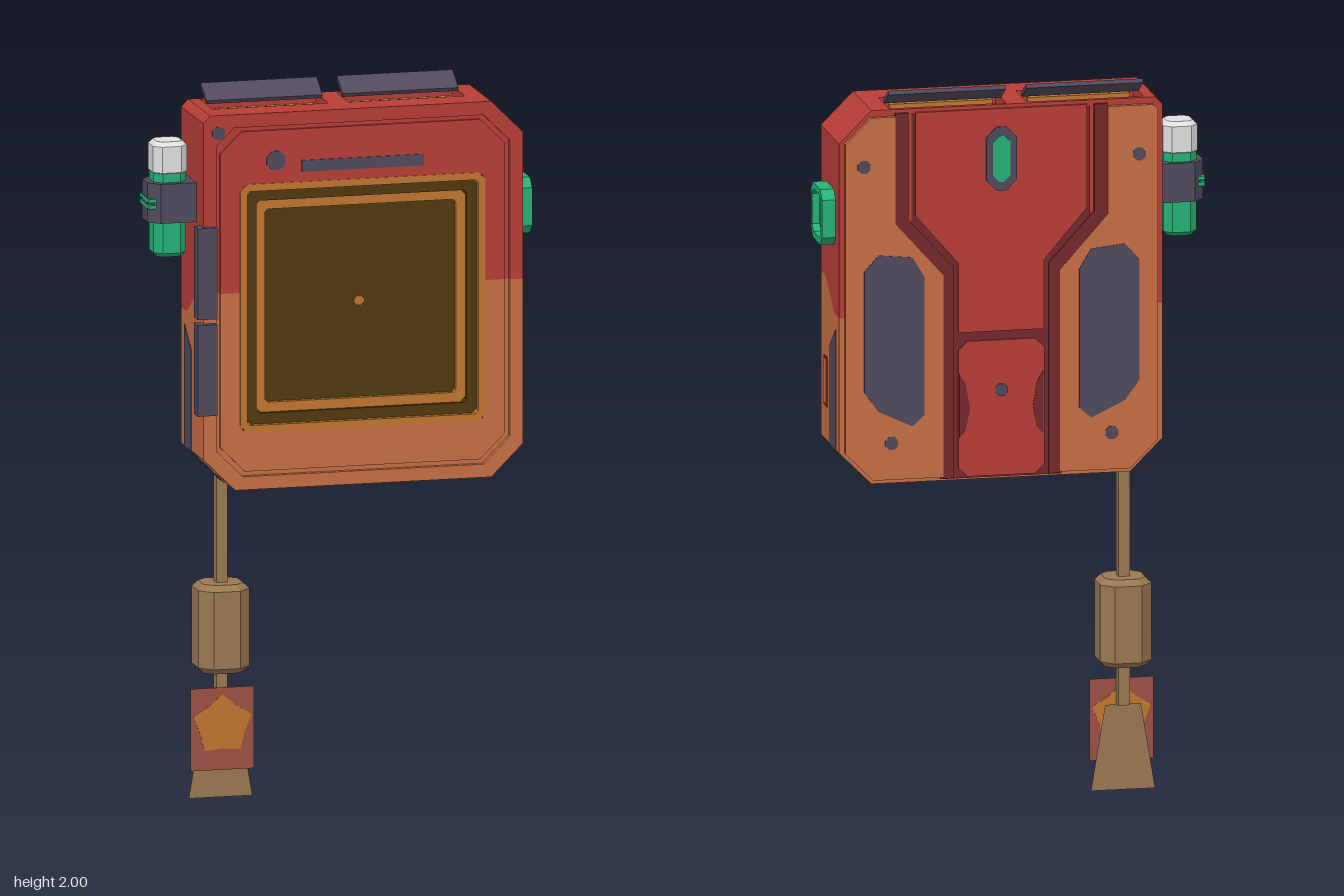
import * as THREE from 'three';

const mat = (name, color, double) => {
  const m = new THREE.MeshStandardMaterial({ color });
  m.name = name;
  if (double) m.side = THREE.DoubleSide;
  return m;
};

export function createModel() {
  const red = mat('red shell', 0xb83d37);
  const darkRed = mat('dark red rail', 0x74292c);
  const orange = mat('orange shell', 0xc66e44);
  const grey = mat('slate grey', 0x504a5c);
  const tan = mat('tan cord', 0x9a7852, true);
  const green = mat('green', 0x24b276);
  const white = mat('white cap', 0xe0e0e0);
  const dark = mat('dark screen', 0x50380e);
  const gold = mat('amber', 0xc0762f);
  const tagRed = mat('tag red', 0x9c5044);

  const root = new THREE.Group();
  const add = (name, geo, m, parent = root) => {
    const mesh = new THREE.Mesh(geo, m);
    mesh.name = name;
    parent.add(mesh);
    return mesh;
  };
  const box = (name, m, x0, x1, y0, y1, z0, z1, parent) => {
    const mesh = add(name, new THREE.BoxGeometry(x1 - x0, y1 - y0, z1 - z0), m, parent);
    mesh.position.set((x0 + x1) / 2, (y0 + y1) / 2, (z0 + z1) / 2);
    return mesh;
  };
  const toShape = (pts, hole) => {
    const s = new THREE.Shape(pts.map(p => new THREE.Vector2(...p)));
    if (hole) s.holes.push(new THREE.Path(hole.map(p => new THREE.Vector2(...p))));
    return s;
  };
  // Extrude a polygon in the xy plane from z0 to z1
  const slab = (pts, z0, z1, steps = 1, hole) => new THREE.ExtrudeGeometry(toShape(pts, hole),
    { depth: z1 - z0, steps, bevelEnabled: false }).translate(0, 0, z0);
  const oct = (x0, x1, y0, y1, c) => [[x0 + c, y0], [x1 - c, y0], [x1, y0 + c], [x1, y1 - c],
    [x1 - c, y1], [x0 + c, y1], [x0, y1 - c], [x0, y0 + c]];
  // Upright square bar of half width h with cut corners c and bevelled ends b
  const bar = (h, c, y0, y1, b) => new THREE.ExtrudeGeometry(toShape(oct(b - h, h - b, b - h, h - b, c)),
    { depth: y1 - y0 - 2 * b, bevelSize: b, bevelThickness: b, bevelSegments: 1 })
    .translate(0, 0, y0 + b).rotateX(-Math.PI / 2);
  // Slide the vertices lying at height y to a height that depends on z
  const slant = (geo, y, rule) => {
    const p = geo.attributes.position;
    for (let i = 0; i < p.count; i++) if (Math.abs(p.getY(i) - y) < 1e-4) p.setY(i, rule(p.getZ(i)));
    geo.computeVertexNormals();
    return geo;
  };

  // Case: red upper and orange lower half, colour seam dropping towards the back
  const S = 1.45, cx = 0.043, cy = 1.405, W = 0.34;
  const seam = z => 1.37 + 0.08 * THREE.MathUtils.clamp((z + 0.04) / 0.11, 0, 1);
  const vents = [0.025, -0.36], ventW = 0.328;
  const notches = vents.flatMap(x => [[x + ventW, 1.95], [x + ventW, 1.91], [x, 1.91], [x, 1.95]]);
  const upper = (d, cut = []) => [[0.495 - d, S], [0.495 - d, 1.86 - d * 0.6], [0.405 - d * 0.6, 1.95 - d],
    ...cut, [-0.39 + d * 1.8, 1.95 - d], [-0.41 + d, 1.93 - d * 1.8], [-0.41 + d, S]];
  const lower = d => [[-0.41 + d, S], [-0.41 + d, 0.99 + d * 0.6], [-0.32 + d * 0.6, 0.9 + d],
    [0.405 - d * 0.6, 0.9 + d], [0.495 - d, 0.99 + d * 0.6], [0.495 - d, S]];
  const core = (name, pts, z0, z1, m) =>
    add(name, slant(slab(pts, z0, z1, Math.round((z1 - z0) / 0.015)), S, seam), m);
  core('upperCaseBack', upper(0), -0.105, -0.09, red);
  core('upperCaseVented', upper(0, notches), -0.09, 0.045, red);
  core('upperCaseFront', upper(0), 0.045, 0.075, red);
  core('lowerCase', lower(0), -0.105, 0.075, orange);
  // Front ring around the screen well, with a raised rim and panel
  for (const [part, half, m, s] of [['upper', upper, red, 1], ['lower', lower, orange, -1]]) {
    const well = [[cx - s * W, S], [cx - s * W, cy + s * W], [cx + s * W, cy + s * W], [cx + s * W, S]];
    add(part + 'FrontRing', slab([...half(0), ...well], 0.075, 0.12), m);
    add(part + 'FrontRim', slab([...half(0), ...half(0.037).reverse()], 0.12, 0.135), m);
    add(part + 'FrontPanel', slab([...half(0.05), ...well], 0.12, 0.129), m);
  }

  // Grey band around the lower edge
  add('lowerBand', slant(slab([[-0.412, 1.3], [-0.412, 0.989], [-0.321, 0.898], [0.406, 0.898],
    [0.497, 0.989], [0.497, 1.3]], -0.065, 0.01), 1.3, z => 1.27 + (0.01 - z) * 0.8), grey);
  box('bottomSlot', grey, -0.1, 0.19, 0.897, 0.902, 0.05, 0.085);
  box('sideSlotRim', darkRed, 0.49, 0.497, 1.085, 1.225, 0.047, 0.09);
  box('sideSlot', orange, 0.49, 0.498, 1.092, 1.218, 0.053, 0.084);

  // Screen, stepping inwards from frame to glass
  const screen = new THREE.Group();
  screen.name = 'screen';
  root.add(screen);
  const square = (h, c) => oct(cx - h, cx + h, cy - h, cy + h, c);
  for (const [name, h, hole, z, m] of [['screenFrame', 0.347, 0.327, 0.131, gold],
    ['screenBorder', 0.33, 0.297, 0.115, dark], ['screenRing', 0.3, 0.27, 0.103, gold]])
    add(name, slab(square(h, 0.02), 0.076, z, 1, square(hole, 0.008)), m, screen);
  add('screenGlass', slab(square(0.275, 0.005), 0.075, 0.088), dark, screen);
  add('screenDot', slab(oct(0.028, 0.056, 1.392, 1.416, 0.008), 0.085, 0.091), gold, screen);

  // Front speaker, sensor and screw
  box('speakerSlot', grey, -0.13, 0.215, 1.78, 1.812, 0.125, 0.132);
  const disc = (name, m, x, y, r, z0, z1) =>
    add(name, slab(oct(x - r, x + r, y - r, y + r, r * 0.58), z0, z1), m);
  disc('sensor', grey, -0.203, 1.815, 0.026, 0.125, 0.132);
  disc('frontScrew', grey, -0.367, 1.9, 0.018, 0.128, 0.1365);

  // Hinge plates on the front edge
  for (const y of [1.115, 1.385]) box('hingePlate', grey, -0.43, -0.375, y, y + 0.255, 0.11, 0.153);

  // Top vents with raised flaps
  for (const x of vents) {
    const flap = box('ventFlap', grey, x, x + ventW, 1.968, 1.98, -0.092, -0.018);
    flap.rotation.x = 0.54;
    box('ventStrip', gold, x + 0.02, x + ventW - 0.02, 1.905, 1.942, -0.01, 0.006);
  }

  // Back: channel between two mirrored plates
  box('channelFloor', darkRed, cx - 0.25, cx + 0.25, 1.5, 1.935, -0.109, -0.1);
  box('channelFloorLow', darkRed, cx - 0.17, cx + 0.17, 0.905, 1.5, -0.109, -0.1);
  for (const s of [1, -1]) {
    const side = s > 0 ? 'left' : 'right';
    const flip = pts => pts.map(([x, y]) => [cx + s * x, y]);
    const corner = s > 0 ? [[0.437, 1.86], [0.365, 1.932]] : [[0.437, 1.92], [0.425, 1.932]];
    add(side + 'BackPlate', slab(flip([[0.297, 1.932], [0.297, 1.63], [0.163, 1.48], [0.163, 0.912],
      [0.36, 0.912], [0.437, 0.99], ...corner]), -0.119, -0.1), orange);
    add(side + 'Rail', slab(flip([[0.297, 1.94], [0.297, 1.63], [0.163, 1.48], [0.163, 0.908],
      [0.133, 0.908], [0.133, 1.5], [0.26, 1.64], [0.26, 1.94]]), -0.117, -0.1), darkRed);
    add(side + 'GripPad', slab(flip([[0.217, 1.48], [0.25, 1.535], [0.345, 1.545], [0.385, 1.5],
      [0.385, 1.16], [0.345, 1.105], [0.25, 1.06], [0.217, 1.09]]), -0.121, -0.116), grey);
    disc(side + 'TopScrew', grey, cx + s * 0.385, 1.795, 0.018, -0.121, -0.116);
    disc(side + 'LowScrew', grey, cx + s * 0.308, 1.015, 0.018, -0.121, -0.116);
    add(side + 'Stain', slab(flip([[0.118, 1.2], [0.1, 1.17], [0.088, 1.1], [0.1, 1.04], [0.118, 1.02]]),
      -0.117, -0.112), darkRed);
  }
  add('backUpperPanel', slab([[-0.24, 1.94], [-0.24, 1.65], [-0.12, 1.51], [-0.12, 1.315], [0.12, 1.315],
    [0.12, 1.51], [0.24, 1.65], [0.24, 1.94]].map(([x, y]) => [cx + x, y]), -0.114, -0.1), red);
  add('backLowerPanel', slab(oct(cx - 0.12, cx + 0.12, 0.91, 1.29, 0.025), -0.115, -0.1), red);
  disc('centreScrew', grey, cx, 1.15, 0.017, -0.119, -0.112);
  add('lampRim', slab(oct(cx - 0.043, cx + 0.043, 1.71, 1.89, 0.03), -0.118, -0.11), grey);
  add('lamp', slab(oct(cx - 0.024, cx + 0.024, 1.735, 1.865, 0.018), -0.12, -0.115), green);

  // Side button, shaped in profile and turned to face +x
  const button = new THREE.Group();
  button.name = 'sideButton';
  button.position.set(0.49, 1.64, 0.015);
  button.rotation.y = Math.PI / 2;
  root.add(button);
  const outer = oct(-0.074, 0.074, -0.078, 0.078, 0.025), inner = oct(-0.056, 0.056, -0.06, 0.06, 0.018);
  add('buttonRim', slab(outer, 0, 0.043, 1, inner), green, button);
  add('buttonFace', slab(inner, 0, 0.022), green, button);

  // Pen held in a clip on the other side
  const pen = new THREE.Group();
  pen.name = 'pen';
  pen.position.set(-0.475, 0, -0.005);
  root.add(pen);
  add('penBody', bar(0.046, 0.014, 1.54, 1.8, 0.012), green, pen);
  add('penCap', bar(0.048, 0.014, 1.765, 1.862, 0.012), white, pen);
  const clip = add('penClip', slab([[-0.54, -0.03], [-0.51, -0.06], [-0.405, -0.06], [-0.405, 0.065],
    [-0.51, 0.065], [-0.54, 0.03]], 0, 0.11), grey);
  clip.rotation.x = -Math.PI / 2;
  clip.position.y = 1.64;
  for (const y of [1.68, 1.697]) box('clipStripe', green, -0.541, -0.51, y, y + 0.01, -0.052, 0.05);

  // Hanging charm: cord, bead, tag and tassel
  const charm = new THREE.Group();
  charm.name = 'charm';
  charm.position.set(-0.305, 0, -0.08);
  root.add(charm);
  box('cord', tan, -0.016, 0.016, 0.24, 0.93, -0.016, 0.016, charm);
  add('bead', bar(0.072, 0.025, 0.355, 0.603, 0.016), tan, charm);
  box('tag', tagRed, -0.09, 0.09, 0.08, 0.31, 0.0195, 0.0205, charm);
  const star = [];
  for (let i = 0; i < 10; i++) {
    const a = -Math.PI / 2 + i * Math.PI / 5, r = i % 2 ? 0.087 : 0.066;
    star.push([Math.cos(a) * r, 0.205 + Math.sin(a) * r]);
  }
  add('tagStar', slab(star, 0.0185, 0.0215), gold, charm);
  add('tassel', new THREE.ShapeGeometry(toShape([[-0.09, 0], [0.09, 0], [0.05, 0.24], [-0.05, 0.24]])), tan, charm);
  return root;
}
